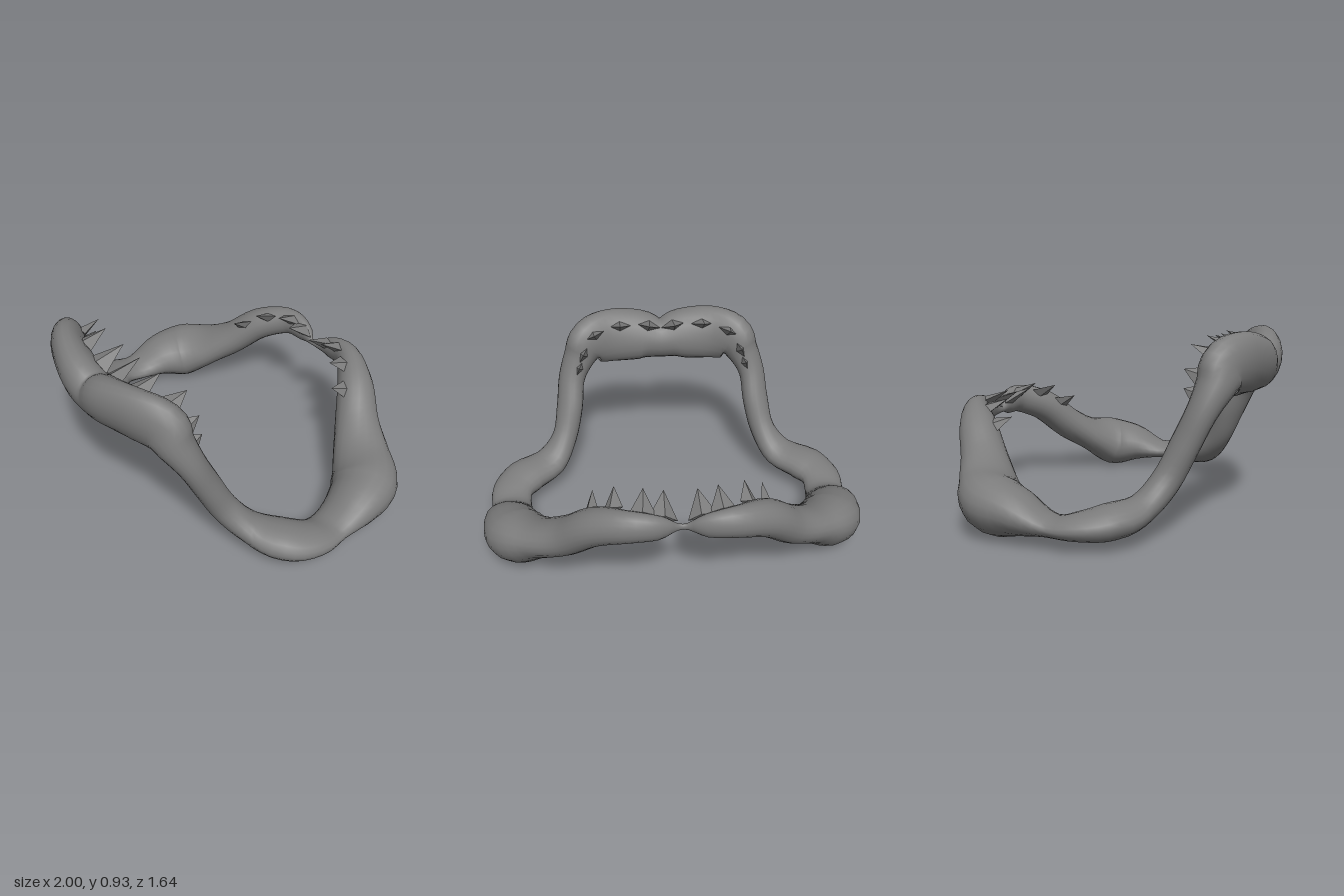
import * as THREE from 'three';

// Left half of the jaw ring, front centre to back centre.
// Each station: centre x, y, z, half thickness outward, half height, roll in degrees.
const stations = [
  [0, 0.745, 0.70, 0.105, 0.115, -22],
  [0.12, 0.768, 0.70, 0.105, 0.145, -22],
  [0.30, 0.785, 0.665, 0.092, 0.155, -12],
  [0.42, 0.77, 0.615, 0.09, 0.14, -5],
  [0.48, 0.695, 0.59, 0.09, 0.095, 0],
  [0.532, 0.58, 0.54, 0.08, 0.07, 0],
  [0.552, 0.43, 0.47, 0.08, 0.068, 0],
  [0.59, 0.27, 0.395, 0.072, 0.07, 0],
  [0.68, 0.155, 0.305, 0.10, 0.068, 0],
  [0.82, 0.125, 0.205, 0.125, 0.08, 0],
  [0.883, 0.112, 0.09, 0.115, 0.063, 0],
  [0.876, 0.10, -0.05, 0.108, 0.05, 5],
  [0.857, 0.135, -0.22, 0.147, 0.11, 15],
  [0.80, 0.15, -0.36, 0.175, 0.138, 18],
  [0.675, 0.21, -0.46, 0.15, 0.10, 10],
  [0.537, 0.30, -0.56, 0.118, 0.095, 0],
  [0.405, 0.425, -0.663, 0.098, 0.092, 0],
  [0.25, 0.485, -0.755, 0.066, 0.08, 0],
  [0.11, 0.475, -0.762, 0.042, 0.062, 0],
  [0, 0.455, -0.735, 0.01, 0.014, 0],
];

// Close each curve with the mirrored stations of the other half
const closedCurve = (pick) => new THREE.CatmullRomCurve3([
  ...stations.map((s) => pick(s, 1)),
  ...stations.slice(1, -1).reverse().map((s) => pick(s, -1)),
], true, 'catmullrom', 0.5);
const centreCurve = closedCurve((s, side) => new THREE.Vector3(s[0] * side, s[1], s[2]));
const sectionCurve = closedCurve((s) => new THREE.Vector3(s[3], s[4], THREE.MathUtils.degToRad(s[5])));

// Point on the oval section at t; angle 0 faces outward, 90 degrees faces up
function surfacePoint(t, angle, scale = 1) {
  const c = centreCurve.getPoint(t);
  const { x: halfWidth, y: halfHeight, z: roll } = sectionCurve.getPoint(t);
  const tangent = centreCurve.getTangent(t);
  const out = new THREE.Vector3(c.x, 0, c.z);
  out.addScaledVector(tangent, -out.dot(tangent)).normalize();
  const up = new THREE.Vector3().crossVectors(out, tangent);
  const a = Math.cos(angle) * halfWidth * scale;
  const b = Math.sin(angle) * halfHeight * scale;
  return c.addScaledVector(out, a * Math.cos(roll) - b * Math.sin(roll))
    .addScaledVector(up, a * Math.sin(roll) + b * Math.cos(roll));
}

// Closed loft around the ring
function jawGeometry(rings = 152, sides = 20) {
  const pos = [], idx = [];
  for (let i = 0; i < rings; i++) {
    for (let j = 0; j < sides; j++) {
      pos.push(...surfacePoint(i / rings, (j / sides) * Math.PI * 2).toArray());
      const i2 = (i + 1) % rings, j2 = (j + 1) % sides;
      const a = i * sides + j, b = i * sides + j2;
      const c = i2 * sides + j, d = i2 * sides + j2;
      idx.push(a, c, b, b, c, d);
    }
  }
  const g = new THREE.BufferGeometry();
  g.setAttribute('position', new THREE.Float32BufferAttribute(pos, 3));
  g.setIndex(idx);
  g.computeVertexNormals();
  return g;
}

// Flattened four-sided spike, its wide axis along the gum line
function toothGeometry(base, direction, along, length, radius) {
  const y = direction.clone().normalize();
  const x = along.clone().addScaledVector(y, -along.dot(y)).normalize();
  const z = new THREE.Vector3().crossVectors(x, y);
  const g = new THREE.ConeGeometry(1, 1, 4);
  g.translate(0, 0.5, 0);
  g.scale(radius, length, radius * 0.45);
  return g.applyMatrix4(new THREE.Matrix4().makeBasis(x, y, z).setPosition(base));
}

// Mirrored row of teeth on the inner upper gum, at the given station positions;
// length and radius run from the middle tooth to the last one
function makeRow(name, places, angle, direction, lengths, radii, material) {
  const row = new THREE.Group();
  row.name = `${name}Row`;
  for (const side of [1, -1]) {
    places.forEach((place, i) => {
      const k = i / (places.length - 1);
      const half = place / (2 * stations.length - 2);
      const t = side > 0 ? half : 1 - half;
      const tooth = new THREE.Mesh(toothGeometry(
        surfacePoint(t, angle, 0.9),
        new THREE.Vector3(direction[0] * side, direction[1], direction[2]),
        centreCurve.getTangent(t),
        THREE.MathUtils.lerp(lengths[0], lengths[1], k),
        THREE.MathUtils.lerp(radii[0], radii[1], k),
      ), material);
      tooth.name = `${name}${side > 0 ? 'Left' : 'Right'}${i + 1}`;
      row.add(tooth);
    });
  }
  return row;
}

export function createModel() {
  const group = new THREE.Group();
  group.name = 'jaws';
  const bone = new THREE.MeshStandardMaterial({ color: 0x7c7c7c });
  const enamel = new THREE.MeshStandardMaterial({ color: 0x7c7c7c, flatShading: true });

  const jaw = new THREE.Mesh(jawGeometry(), bone);
  jaw.name = 'jawRing';
  group.add(jaw);
  group.add(makeRow('frontTooth', [0.8, 1.75, 2.8, 3.7, 4.5], Math.PI * 0.86,
    [0, 0.4, -1], [0.16, 0.06], [0.07, 0.045], enamel));
  group.add(makeRow('backTooth', [18.15, 17.4, 16.45, 15.75], Math.PI * 0.78,
    [-0.01, 0.06, 0.12], [0.15, 0.11], [0.07, 0.05], enamel));
  return group;
}
